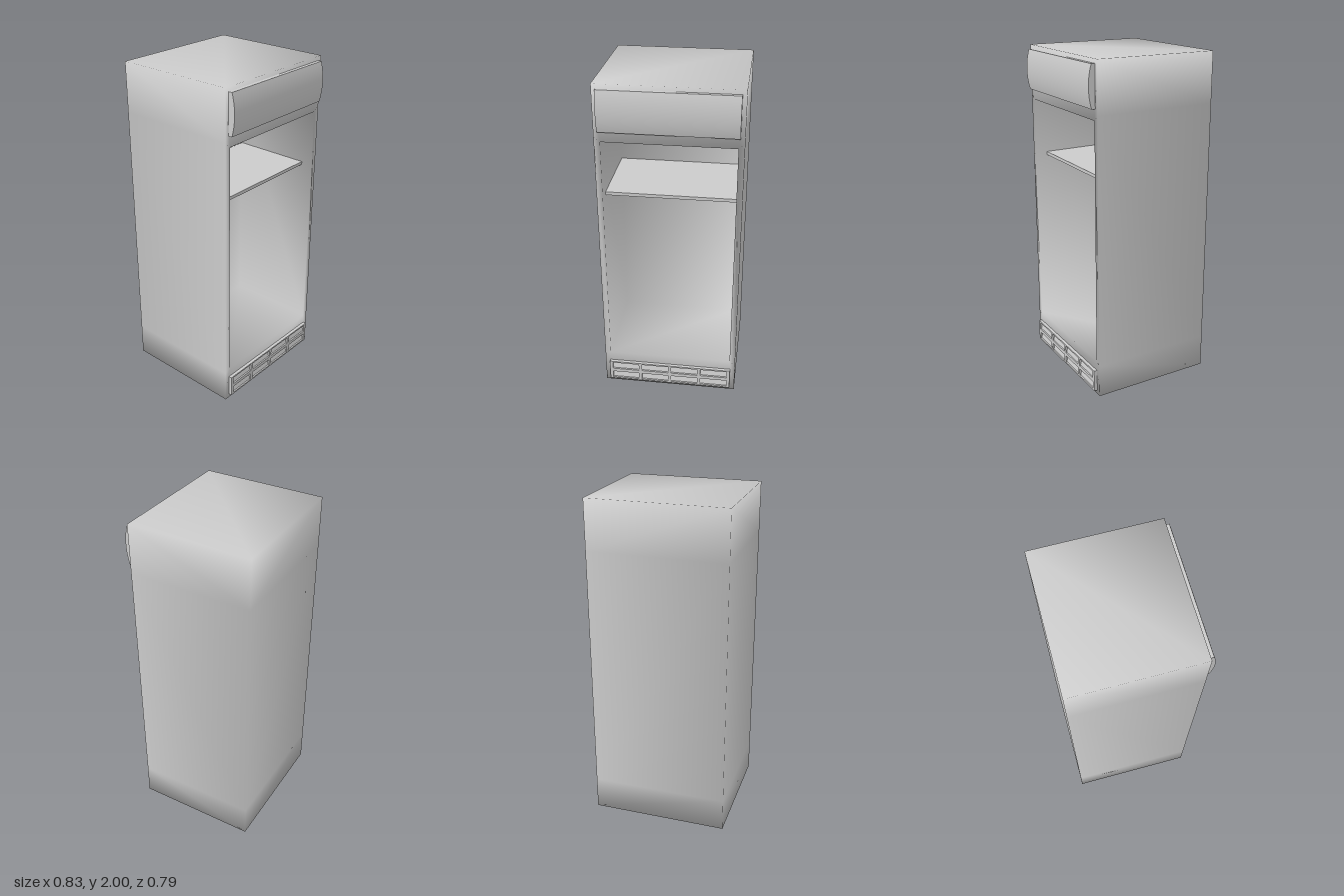
import * as THREE from 'three';
import { mergeVertices, toCreasedNormals } from 'three/addons/utils/BufferGeometryUtils.js';

const material = new THREE.MeshStandardMaterial({ color: 0xcccccc });

function addMesh(parent, name, geometry, x = 0, y = 0, z = 0) {
  const mesh = new THREE.Mesh(geometry, material);
  mesh.name = name;
  mesh.position.set(x, y, z);
  parent.add(mesh);
  return mesh;
}

// Rectangular loop, counter-clockwise from the front, with two extra points on each side
function rectLoop(halfWidth, [y0, y1, y2, y3], z) {
  const w = halfWidth;
  return [[-w, y0], [w, y0], [w, y1], [w, y2], [w, y3], [-w, y3], [-w, y2], [-w, y1]]
    .map(([x, y]) => [x, y, z]);
}

// Hollow cabinet: back rim, front rim, opening rim and inner back, with soft shared normals
function cabinetGeometry() {
  const outer = [0, 0.2, 1.7, 2], inner = [0.22, 0.22, 1.67, 1.67];
  const loops = [
    rectLoop(0.415, outer, -0.395),
    rectLoop(0.415, outer, 0.355),
    rectLoop(0.38, inner, 0.355),
    rectLoop(0.38, inner, -0.21),
  ];
  const positions = [];
  const quad = (a, b, c, d) => positions.push(...a, ...b, ...c, ...a, ...c, ...d);
  for (let k = 0; k < loops.length - 1; k++) {
    const a = loops[k], b = loops[k + 1];
    for (let i = 0; i < 8; i++) {
      const j = (i + 1) % 8;
      quad(a[i], a[j], b[j], b[i]);
    }
  }
  // Rear panel in three rows, then the inner back wall
  const r = loops[0], w = loops[3];
  quad(r[1], r[0], r[7], r[2]);
  quad(r[2], r[7], r[6], r[3]);
  quad(r[3], r[6], r[5], r[4]);
  quad(w[0], w[1], w[4], w[5]);

  const geometry = new THREE.BufferGeometry();
  geometry.setAttribute('position', new THREE.Float32BufferAttribute(positions, 3));
  const welded = mergeVertices(geometry);
  welded.computeVertexNormals();
  return welded;
}

// Bulging sign panel: side profile swept across the width
function headerGeometry(width) {
  const profile = new THREE.Shape();
  profile.moveTo(-0.345, 1.735);
  profile.lineTo(-0.377, 1.735);
  profile.bezierCurveTo(-0.401, 1.81, -0.401, 1.90, -0.377, 1.975);
  profile.lineTo(-0.345, 1.975);
  profile.closePath();
  const geometry = new THREE.ExtrudeGeometry(profile, { depth: width, bevelEnabled: false, curveSegments: 16 });
  geometry.translate(0, 0, -width / 2).rotateY(Math.PI / 2);
  return toCreasedNormals(geometry, 0.5);
}

function rectangle(target, x, y, w, h) {
  target.moveTo(x - w / 2, y - h / 2);
  target.lineTo(x + w / 2, y - h / 2);
  target.lineTo(x + w / 2, y + h / 2);
  target.lineTo(x - w / 2, y + h / 2);
  target.closePath();
  return target;
}

// Ventilation grille: plate with two rows of four slots and a tilted slat in each
function buildGrille() {
  const grille = new THREE.Group();
  grille.name = 'ventGrille';
  const plate = rectangle(new THREE.Shape(), 0, 0.0925, 0.77, 0.135);
  for (const y of [0.058, 0.127]) {
    for (let i = 0; i < 4; i++) {
      const x = (i - 1.5) * 0.188;
      plate.holes.push(rectangle(new THREE.Path(), x, y, 0.168, 0.046));
      const slat = addMesh(grille, 'ventSlat', new THREE.BoxGeometry(0.168, 0.042, 0.004), x, y, 0.361);
      slat.rotation.x = -0.25;
    }
  }
  const geometry = new THREE.ExtrudeGeometry(plate, { depth: 0.025, bevelEnabled: false });
  addMesh(grille, 'ventFrame', geometry, 0, 0, 0.35);
  return grille;
}

export function createModel() {
  const model = new THREE.Group();
  model.name = 'displayCabinet';
  addMesh(model, 'cabinet', cabinetGeometry());
  addMesh(model, 'headerPanel', headerGeometry(0.78));
  addMesh(model, 'shelf', new THREE.BoxGeometry(0.758, 0.02, 0.485), 0, 1.32, 0.04);
  model.add(buildGrille());
  return model;
}
